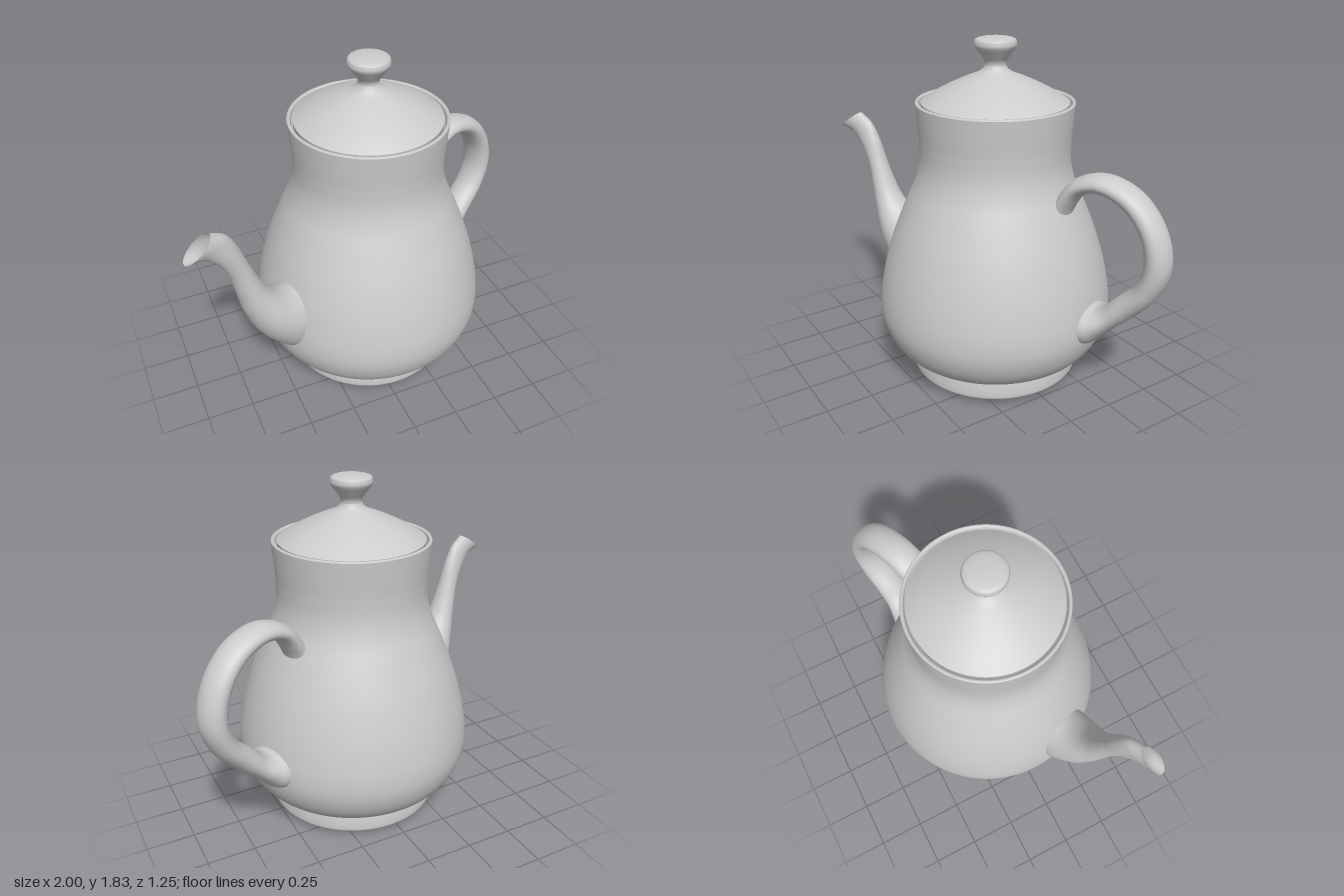
import * as THREE from 'three';
import { ParametricGeometry } from 'three/addons/geometries/ParametricGeometry.js';

const material = new THREE.MeshStandardMaterial({ color: 0xcccccc, side: THREE.DoubleSide });
const TURN = 0.358; // the spout and handle line is turned about the vertical axis
const CENTRE = 0.05;

function addMesh(parent, name, geometry) {
  const mesh = new THREE.Mesh(geometry, material);
  mesh.name = name;
  parent.add(mesh);
}

// Turned part from [radius, height] points, optionally smoothed by a spline
function turned(points, steps = 0) {
  let profile = points.map(([r, y]) => new THREE.Vector2(r, y));
  if (steps) profile = new THREE.SplineCurve(profile).getPoints(steps);
  profile.forEach((p) => { p.x = Math.max(p.x, 0); });
  return new THREE.LatheGeometry(profile, 96);
}

// Loft of ellipses: each section is [outer x, outer y, inner x, inner y, half width]
function loft(sections, steps) {
  const toLocal = (x) => (x - CENTRE) / Math.cos(TURN);
  const curve = (pick) => new THREE.CatmullRomCurve3(sections.map(pick));
  const outer = curve((s) => new THREE.Vector3(toLocal(s[0]), s[1], s[4]));
  const inner = curve((s) => new THREE.Vector3(toLocal(s[2]), s[3], s[4]));
  const p = new THREE.Vector3(), q = new THREE.Vector3();
  return new ParametricGeometry((u, v, target) => {
    outer.getPoint(v, p);
    inner.getPoint(v, q);
    const c = Math.cos(u * Math.PI * 2), s = Math.sin(u * Math.PI * 2);
    target.set(
      (p.x + q.x) / 2 + c * (p.x - q.x) / 2,
      (p.y + q.y) / 2 + c * (p.y - q.y) / 2,
      s * p.z
    );
  }, 40, steps);
}

export function createModel() {
  const pot = new THREE.Group();
  pot.name = 'teapot';
  pot.position.x = CENTRE;
  pot.rotation.y = TURN;

  // Foot: slightly domed underside and a short upright ring
  addMesh(pot, 'footUnderside', turned([[0, 0], [0.25, 0.005], [0.4, 0.015], [0.44, 0.028]]));
  addMesh(pot, 'footRing', turned([[0.44, 0.028], [0.452, 0.036], [0.456, 0.05], [0.453, 0.09], [0.445, 0.14]], 16));

  // Pear-shaped body, then the rim and the inside of the neck
  addMesh(pot, 'body', turned([
    [0.44, 0.13], [0.49, 0.153], [0.545, 0.195], [0.59, 0.26], [0.618, 0.34], [0.625, 0.42],
    [0.615, 0.52], [0.585, 0.66], [0.535, 0.82], [0.47, 0.98], [0.418, 1.1], [0.393, 1.2],
    [0.39, 1.3], [0.397, 1.4], [0.405, 1.505],
  ], 80));
  addMesh(pot, 'rim', turned([[0.405, 1.505], [0.402, 1.512], [0.392, 1.512], [0.387, 1.505]]));
  addMesh(pot, 'neckInside', turned([[0.387, 1.505], [0.38, 1.47], [0.36, 1.47]]));

  // Domed lid
  addMesh(pot, 'lidEdge', turned([[0.36, 1.47], [0.374, 1.48], [0.376, 1.508]]));
  addMesh(pot, 'lid', turned([
    [0.376, 1.508], [0.31, 1.55], [0.23, 1.592], [0.15, 1.628], [0.095, 1.65], [0.065, 1.67], [0.053, 1.69],
  ], 40));

  // Knob on a narrow neck
  addMesh(pot, 'knob', turned([
    [0.053, 1.685], [0.056, 1.71], [0.08, 1.745], [0.104, 1.78], [0.106, 1.8],
    [0.097, 1.817], [0.06, 1.826], [0, 1.83],
  ], 40));

  // Curved spout with an open slanted mouth
  addMesh(pot, 'spout', loft([
    [-0.46, 0.3, -0.33, 0.74, 0.16],
    [-0.57, 0.41, -0.49, 0.745, 0.15],
    [-0.67, 0.55, -0.57, 0.79, 0.125],
    [-0.735, 0.72, -0.625, 0.86, 0.09],
    [-0.765, 0.86, -0.663, 0.94, 0.07],
    [-0.8, 1.01, -0.7, 1.04, 0.055],
    [-0.85, 1.11, -0.745, 1.17, 0.048],
    [-0.92, 1.18, -0.79, 1.25, 0.042],
    [-1, 1.2, -0.865, 1.3, 0.045],
  ], 72));

  // Looped handle, flared where it meets the lower body
  addMesh(pot, 'handle', loft([
    [0.38, 0.98, 0.46, 0.95, 0.085],
    [0.43, 1.1, 0.5, 1.05, 0.085],
    [0.51, 1.2, 0.55, 1.12, 0.085],
    [0.65, 1.245, 0.64, 1.15, 0.085],
    [0.82, 1.19, 0.765, 1.1, 0.085],
    [0.945, 1.04, 0.85, 0.98, 0.085],
    [0.99, 0.85, 0.87, 0.84, 0.085],
    [0.935, 0.68, 0.835, 0.73, 0.085],
    [0.83, 0.545, 0.745, 0.63, 0.088],
    [0.76, 0.475, 0.69, 0.57, 0.097],
    [0.7, 0.41, 0.655, 0.55, 0.12],
    [0.64, 0.345, 0.62, 0.55, 0.142],
    [0.56, 0.32, 0.54, 0.55, 0.15],
  ], 96));

  const model = new THREE.Group();
  model.name = 'model';
  model.add(pot);
  return model;
}
